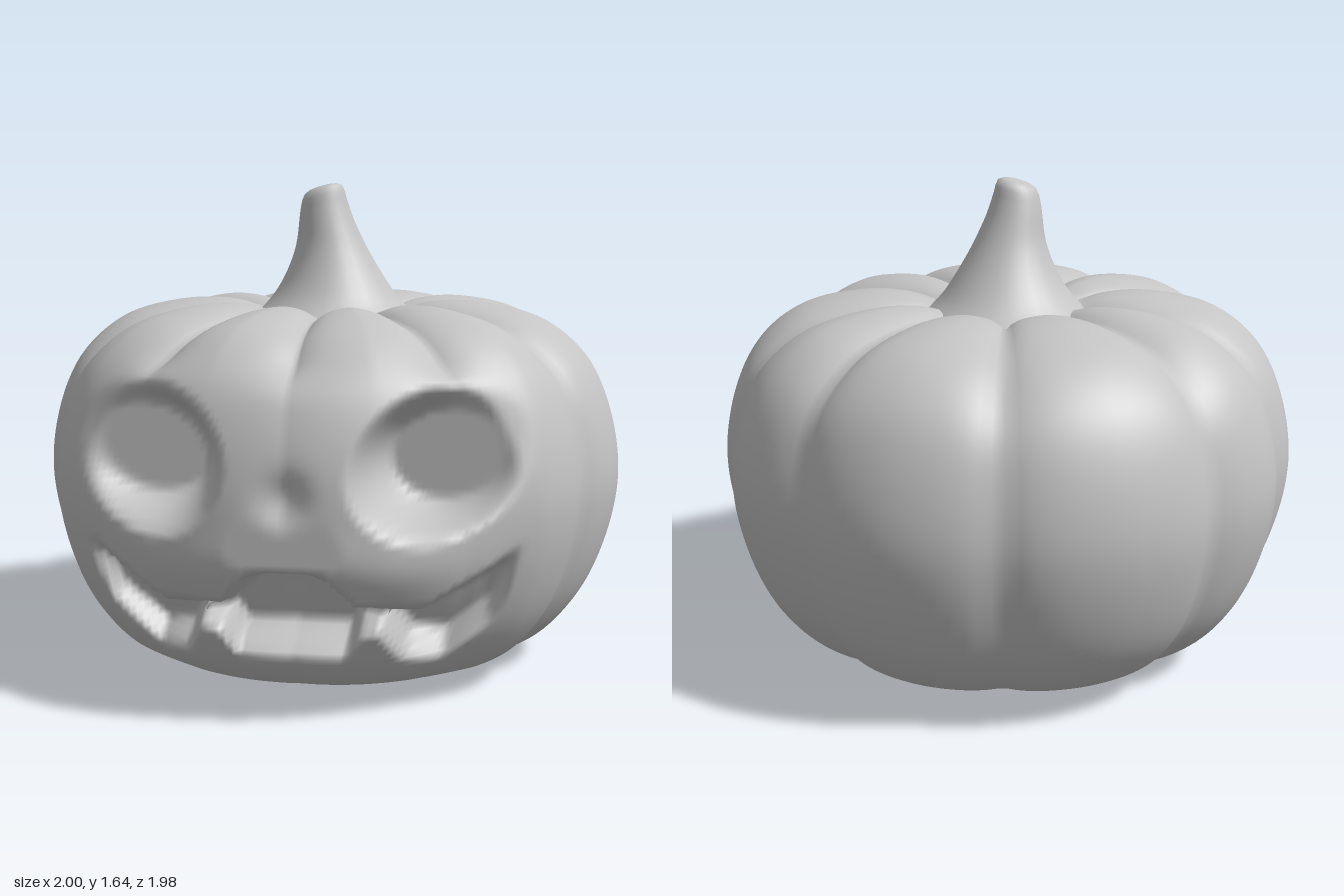
import * as THREE from 'three';

const { smoothstep, lerp } = THREE.MathUtils;
const gauss = (d, w) => Math.exp(-((d / w) ** 2));

// Closed surface through rows of rings; place(u, v) gives a point, v runs upward
function loft(cols, rows, place) {
  const pos = [], index = [];
  for (let i = 0; i <= rows; i++)
    for (let j = 0; j < cols; j++) pos.push(...place(j / cols, i / rows));
  for (let i = 0; i < rows; i++)
    for (let j = 0; j < cols; j++) {
      const a = i * cols + j, b = i * cols + (j + 1) % cols;
      index.push(a, b, b + cols, a, b + cols, a + cols);
    }
  const geo = new THREE.BufferGeometry();
  geo.setAttribute('position', new THREE.Float32BufferAttribute(pos, 3));
  geo.setIndex(index);
  geo.computeVertexNormals();
  return geo;
}

// Piecewise linear lookup in a list of [x, y]
function lookup(points, x) {
  for (let i = 1; i < points.length; i++) {
    const [x0, y0] = points[i - 1], [x1, y1] = points[i];
    if (x <= x1) return lerp(y0, y1, (x - x0) / (x1 - x0));
  }
  return points[points.length - 1][1];
}

const curveOf = (points) => new THREE.CatmullRomCurve3(
  points.map((p) => new THREE.Vector3(...p)), false, 'centripetal');

// Body outline as radius, height
const profile = curveOf([
  [0.001, 0.02, 0], [0.2, 0.008, 0], [0.42, 0.008, 0], [0.72, 0.08, 0], [0.86, 0.22, 0],
  [0.95, 0.41, 0], [0.995, 0.66, 0], [0.955, 0.9, 0], [0.87, 1.07, 0], [0.73, 1.185, 0],
  [0.52, 1.24, 0], [0.35, 1.24, 0], [0.2, 1.2, 0], [0.001, 1.18, 0]]);

// Directions of the grooves between the ribs, in degrees from the front
const grooves = [0, 33, 66, 104, 137, 179, 223, 252, 292, 327]
  .map((d) => THREE.MathUtils.degToRad(d));

// Mouth edges as [distance from the middle, height]
const upperLip = [[0, 0.5], [0.12, 0.48], [0.2, 0.38], [0.4, 0.37], [0.6, 0.48], [0.7, 0.56]];
const lowerLip = [[0, 0.19], [0.17, 0.19], [0.21, 0.27], [0.28, 0.29], [0.34, 0.18],
  [0.45, 0.16], [0.6, 0.28], [0.7, 0.5]];

// Carved face: moves a front point along z
function carve(x, y, z) {
  const ax = Math.abs(x);
  // Brow, muzzle and nose
  z += 0.05 * gauss(x, 0.12) * gauss(y - 0.55, 0.06);
  z += 0.025 * gauss(ax - 0.32, 0.25) * gauss(y - 0.5, 0.1);
  z -= 0.035 * gauss(x, 0.07) * gauss(y - 0.72, 0.07);
  // Eye hollows
  const d = Math.hypot((ax - 0.46) / 0.25, (y - 0.82 - 0.1 * (ax - 0.46)) / 0.21);
  const eye = 1 - smoothstep(d, 0.68, 1.12);
  z = lerp(z, Math.min(z - 0.03, 0.68), eye);
  // Mouth hollow with a sharp upper lip and a sloping lower one
  const top = lookup(upperLip, ax), low = lookup(lowerLip, ax);
  const mouth = (1 - smoothstep(y, top - 0.025, top + 0.01)) * smoothstep(y, low, low + 0.1)
    * (1 - smoothstep(ax, 0.58, 0.7));
  z -= 0.21 * (1 - 0.6 * (ax / 0.7) ** 2) * mouth;
  return Math.min(z, 0.995);
}

function bodyPoint(u, v) {
  // Columns lie closer together at the front
  const t = (u - 0.5) * 2 * Math.PI;
  const angle = t - 0.5 * Math.sin(t);
  const p = profile.getPointAt(v);
  let gap = 9;
  for (const g of grooves) {
    const d = angle - g;
    gap = Math.min(gap, Math.abs(Math.atan2(Math.sin(d), Math.cos(d))));
  }
  // Grooves are weaker across the face
  const face = smoothstep(Math.cos(angle), 0.7, 0.85) * (1 - smoothstep(p.y, 1, 1.15));
  const groove = Math.exp(-gap / 0.12) * (1 - 0.75 * face);
  const r = p.x * (1.012 - 0.06 * groove);
  const y = p.y - 0.055 * groove * smoothstep(p.y, 0.9, 1.2) * smoothstep(p.x, 0.1, 0.3);
  const x = r * Math.sin(angle), z = r * Math.cos(angle);
  return [x, y, z > 0.3 && y > 0.1 && y < 1.2 ? carve(x, y, z) : z];
}

// Stem rings: centre x, height, radius; the tip leans and slopes
const stemRings = curveOf([
  [0, 1.17, 0.3], [0, 1.23, 0.235], [0, 1.3, 0.185], [-0.01, 1.42, 0.125],
  [-0.035, 1.58, 0.078], [-0.035, 1.615, 0.068], [-0.035, 1.63, 0.04], [-0.035, 1.632, 0.001]]);

function stemPoint(u, v) {
  const a = u * 2 * Math.PI, p = stemRings.getPointAt(v);
  const dx = p.z * Math.sin(a);
  const slope = 0.25 * smoothstep(p.y, 1.5, 1.61);
  return [p.x + dx, p.y + slope * dx, -0.03 * (1.64 - p.y) / 0.4 + p.z * Math.cos(a)];
}

export function createModel() {
  const model = new THREE.Group();
  model.name = 'carvedPumpkin';
  const grey = new THREE.MeshStandardMaterial({ color: 0xc4c4c4 });
  grey.name = 'light grey';

  const body = new THREE.Mesh(loft(200, 120, bodyPoint), grey);
  body.name = 'body';
  const stem = new THREE.Mesh(loft(28, 26, stemPoint), grey);
  stem.name = 'stem';
  model.add(body, stem);
  return model;
}
